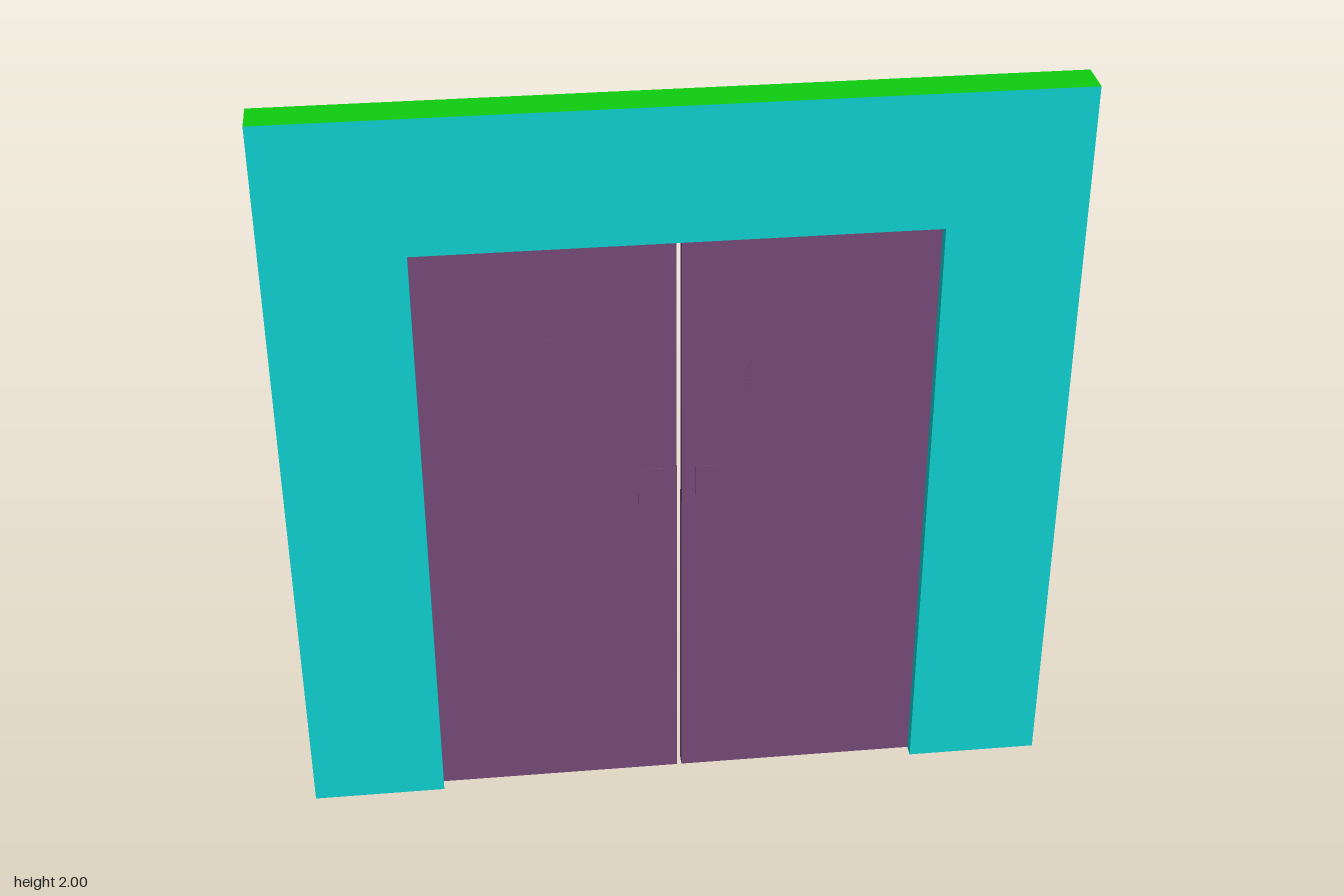
import * as THREE from 'three';

const WALL_DEPTH = 0.1, DOOR_DEPTH = 0.034;
const OPEN_X = 0.65, OPEN_Y = 1.645;

const paint = (color) => new THREE.MeshStandardMaterial({ color });

function addMesh(parent, name, geometry, material, x = 0, y = 0, z = 0) {
  const mesh = new THREE.Mesh(geometry, material);
  mesh.name = name;
  mesh.position.set(x, y, z);
  parent.add(mesh);
  return mesh;
}

// Keeps only the triangles whose centre and normal pass the test
function pickFaces(geometry, test) {
  const p = geometry.attributes.position;
  const tri = new THREE.Triangle(), centre = new THREE.Vector3(), normal = new THREE.Vector3();
  const kept = [];
  for (let i = 0; i < p.count; i += 3) {
    tri.setFromAttributeAndIndices(p, i, i + 1, i + 2);
    tri.getMidpoint(centre);
    tri.getNormal(normal);
    if (test(centre, normal)) kept.push(...tri.a, ...tri.b, ...tri.c);
  }
  const out = new THREE.BufferGeometry();
  out.setAttribute('position', new THREE.Float32BufferAttribute(kept, 3));
  out.computeVertexNormals();
  return out;
}

export function createModel() {
  const model = new THREE.Group();
  model.name = 'doubleDoorWall';
  const inside = paint(0x0fcccc), outside = paint(0x0fcc0f), doorPaint = paint(0x744876);

  // Wall with a doorway, two-toned by the direction its faces point
  const outline = new THREE.Shape([
    [-1, 0], [-OPEN_X, 0], [-OPEN_X, OPEN_Y], [OPEN_X, OPEN_Y],
    [OPEN_X, 0], [1, 0], [1, 2], [-1, 2],
  ].map(([x, y]) => new THREE.Vector2(x, y)));
  const wallShape = new THREE.ExtrudeGeometry(outline, { depth: WALL_DEPTH, bevelEnabled: false });
  wallShape.translate(0, 0, -WALL_DEPTH / 2);
  const facesInside = (c, n) =>
    n.z > 0.5 || n.y < -0.5 || (Math.abs(n.x) > 0.5 && Math.abs(c.x) < 0.9);
  const wall = new THREE.Group();
  wall.name = 'wall';
  model.add(wall);
  addMesh(wall, 'wallFrontAndDoorway', pickFaces(wallShape, facesInside), inside);
  addMesh(wall, 'wallBackAndEdges', pickFaces(wallShape, (c, n) => !facesInside(c, n)), outside);

  // Two door leaves with a narrow gap between them
  for (const [side, innerX] of [['right', -0.003], ['left', 0.01]]) {
    const s = side === 'left' ? 1 : -1;
    const width = OPEN_X - Math.abs(innerX);
    const door = new THREE.Group();
    door.name = side + 'Door';
    model.add(door);
    addMesh(door, side + 'DoorPanel', new THREE.BoxGeometry(width, OPEN_Y, DOOR_DEPTH),
      doorPaint, innerX + s * width / 2, OPEN_Y / 2);

    // Round window pane, just proud of both faces
    const pane = new THREE.CylinderGeometry(0.16, 0.16, DOOR_DEPTH + 0.003, 32);
    pane.rotateX(Math.PI / 2);
    addMesh(door, side + 'Window', pane, doorPaint, s * 0.33, 1.22);

    // Push plate on the front only
    addMesh(door, side + 'PushPlate', new THREE.BoxGeometry(0.064, 0.16, 0.006),
      doorPaint, innerX + s * 0.068, 0.905, DOOR_DEPTH / 2);
  }
  return model;
}
